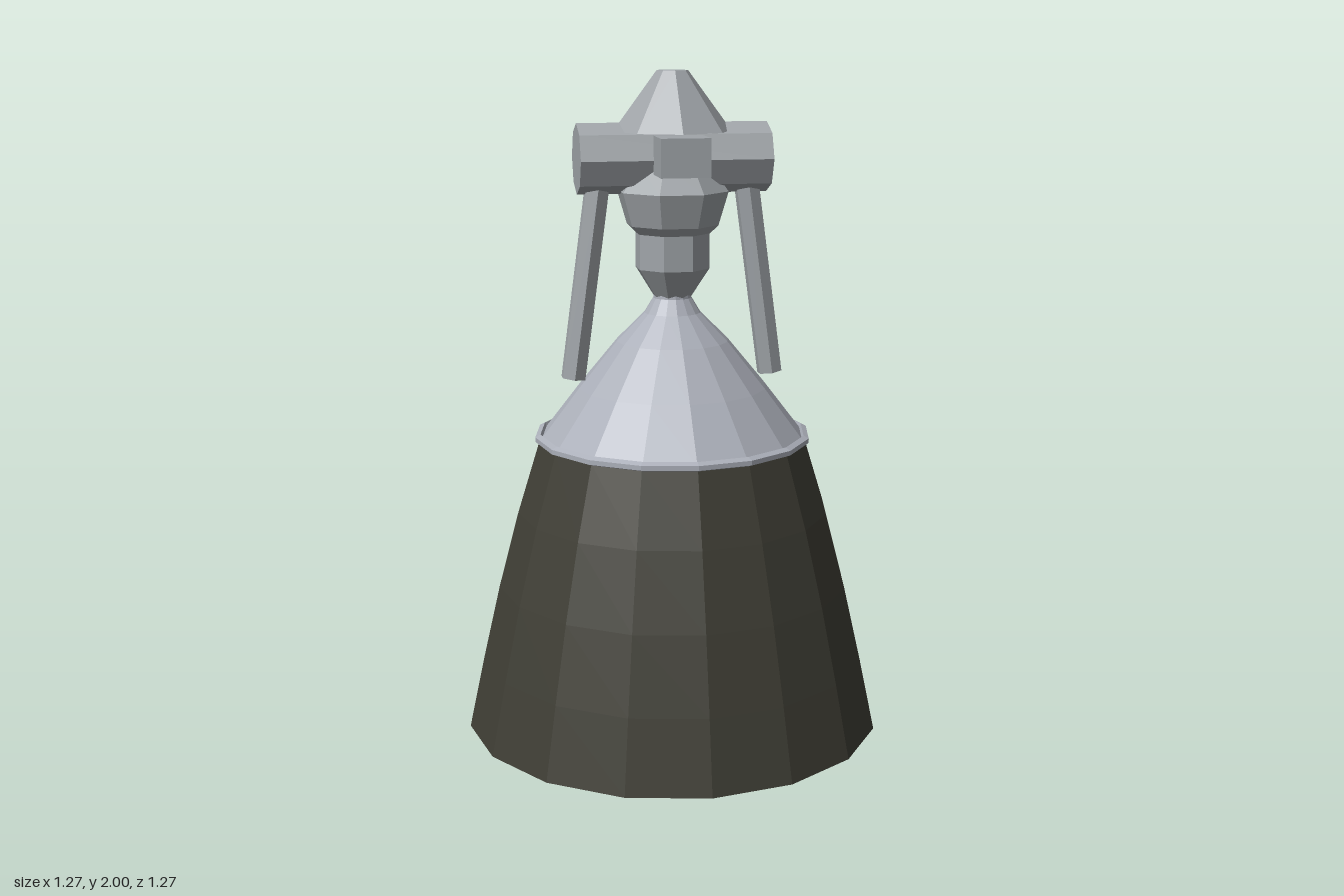
import * as THREE from 'three';

export function createModel() {
  const model = new THREE.Group();
  const material = (name, color) => {
    const m = new THREE.MeshStandardMaterial({ color, flatShading: true, side: THREE.DoubleSide });
    m.name = name;
    return m;
  };
  const dark = material('dark bell metal', 0x3f3e35);
  const pale = material('pale chamber metal', 0xabafb9);
  const grey = material('machinery grey', 0xa0a5a9);

  const add = (name, geometry, mat, x = 0, y = 0, z = 0) => {
    const mesh = new THREE.Mesh(geometry, mat);
    mesh.name = name;
    mesh.position.set(x, y, z);
    model.add(mesh);
    return mesh;
  };
  // Revolved [radius, height] profile, listed from bottom to top
  const lathe = (profile, sides, turn = 0) =>
    new THREE.LatheGeometry(profile.map(([r, y]) => new THREE.Vector2(r, y)), sides, turn);

  // Open nozzle bell
  add('nozzleBell', lathe([[0.637, 0], [0.59, 0.22], [0.537, 0.45], [0.476, 0.68], [0.408, 0.9]], 16), dark);

  // Rim where the bell meets the chamber
  add('bellRim', lathe([[0.4, 0.892], [0.42, 0.9], [0.42, 0.914], [0.404, 0.922], [0.398, 0.91]], 16), pale);

  // Converging cone and throat
  add('chamberCone', lathe([[0.4, 0.91], [0.285, 1.06], [0.17, 1.2], [0.085, 1.285], [0.058, 1.33], [0.055, 1.36]], 16), pale);

  // Valve body with a bulbous head
  const eighth = Math.PI / 8;
  add('valveBody', lathe([[0, 1.335], [0.058, 1.335], [0.113, 1.42], [0.113, 1.53]], 8, eighth), grey);
  add('valveHead', lathe([[0, 1.525], [0.115, 1.525], [0.14, 1.55], [0.17, 1.65], [0.112, 1.73], [0, 1.735]], 8, eighth), grey);

  // Horizontal cross cylinder
  add('crossCylinder', new THREE.CylinderGeometry(0.104, 0.104, 0.57, 8), grey, 0, 1.746, 0)
    .rotation.z = Math.PI / 2;

  // Control box at the front
  add('controlBox', new THREE.BoxGeometry(0.145, 0.112, 0.125), grey, 0, 1.762, 0.158);

  // Top mount
  add('topMount', new THREE.CylinderGeometry(0.047, 0.177, 0.175, 8), grey, 0, 1.9125, 0);

  // Splayed exhaust pipes, mirrored left and right
  for (const side of [1, -1]) {
    const top = new THREE.Vector3(side * 0.223, 1.68, 0);
    const bottom = new THREE.Vector3(side * 0.302, 1.092, 0);
    const pipe = add(side > 0 ? 'leftPipe' : 'rightPipe',
      new THREE.CylinderGeometry(0.039, 0.039, top.distanceTo(bottom), 6), grey);
    pipe.position.copy(top).add(bottom).multiplyScalar(0.5);
    pipe.rotation.z = Math.atan2(bottom.x - top.x, top.y - bottom.y);
  }

  return model;
}
